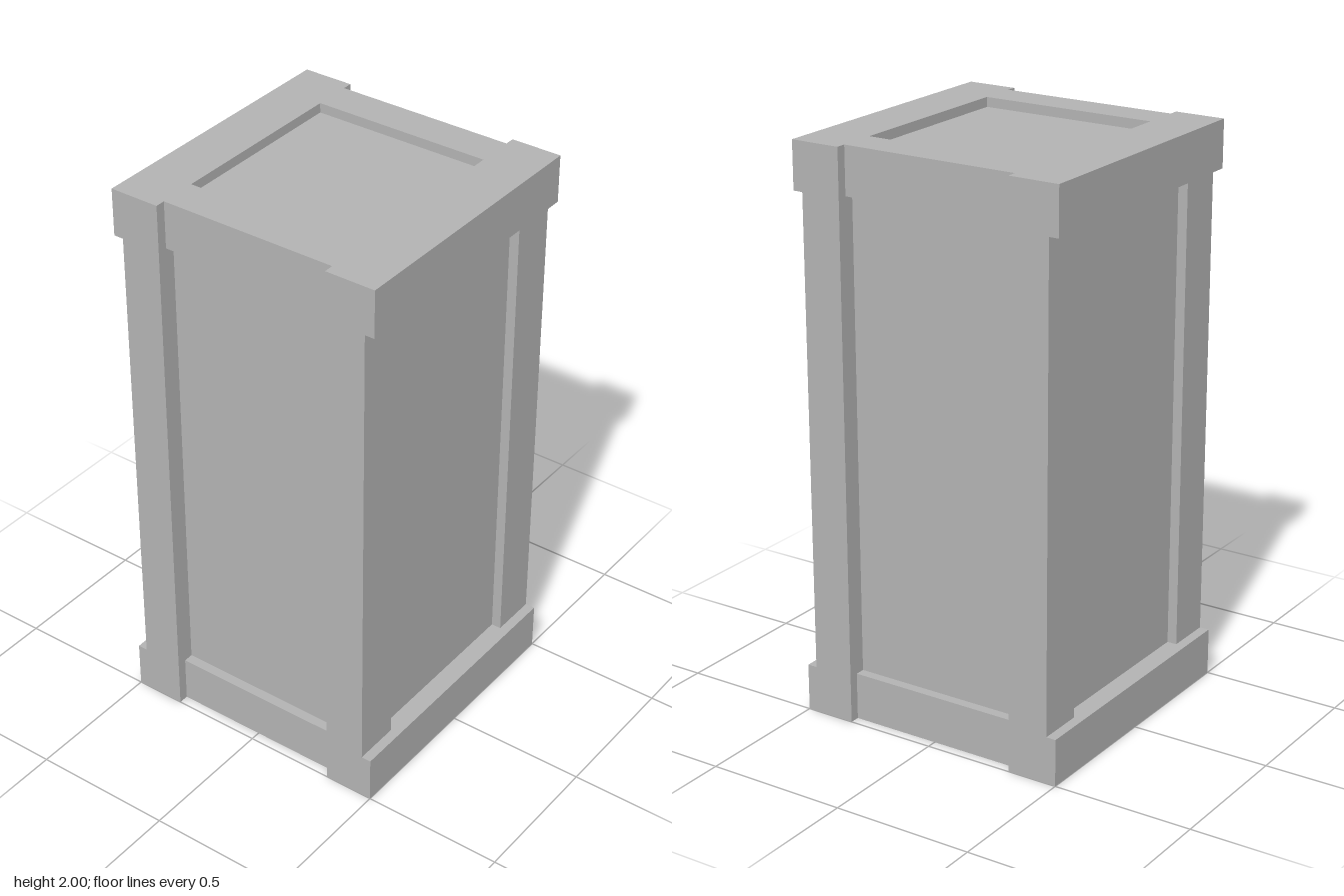
import * as THREE from 'three';

export function createModel() {
  const crate = new THREE.Group();
  crate.name = 'crate';
  const grey = new THREE.MeshStandardMaterial({ color: 0xb2b2b2 });
  grey.name = 'grey';

  // Box given by its low and high limits on each axis
  const box = (name, [x0, x1], [y0, y1], [z0, z1]) => {
    const mesh = new THREE.Mesh(new THREE.BoxGeometry(x1 - x0, y1 - y0, z1 - z0), grey);
    mesh.name = name;
    mesh.position.set((x0 + x1) / 2, (y0 + y1) / 2, (z0 + z1) / 2);
    crate.add(mesh);
  };
  const span = (a, b, s) => (s > 0 ? [a, b] : [-b, -a]);

  const half = 0.5, step = 0.465, panel = 0.43; // outer, middle and recessed layers
  const innerX = 0.32, innerZ = 0.333;          // frame openings
  const railH = 0.167, height = 2, recess = 0.034;

  // Recessed panels on all six sides
  box('panelCore', [-panel, panel], [recess, height - recess], [-panel, panel]);

  for (const s of [1, -1]) {
    // Corner posts between the top and bottom rails
    for (const t of [1, -1]) {
      box('cornerPost', span(innerX, step, s), [railH, height - railH], span(innerZ, half, t));
    }
    for (const [label, y] of [['bottom', [0, railH]], ['top', [height - railH, height]]]) {
      // Side rails run the full depth and stand proud of the posts
      box(label + 'SideRail', span(innerX, half, s), y, [-half, half]);
      // Front and back rails sit back between the posts
      box(label + 'CrossRail', [-innerX, innerX], y, span(innerZ, step, s));
    }
  }
  return crate;
}
